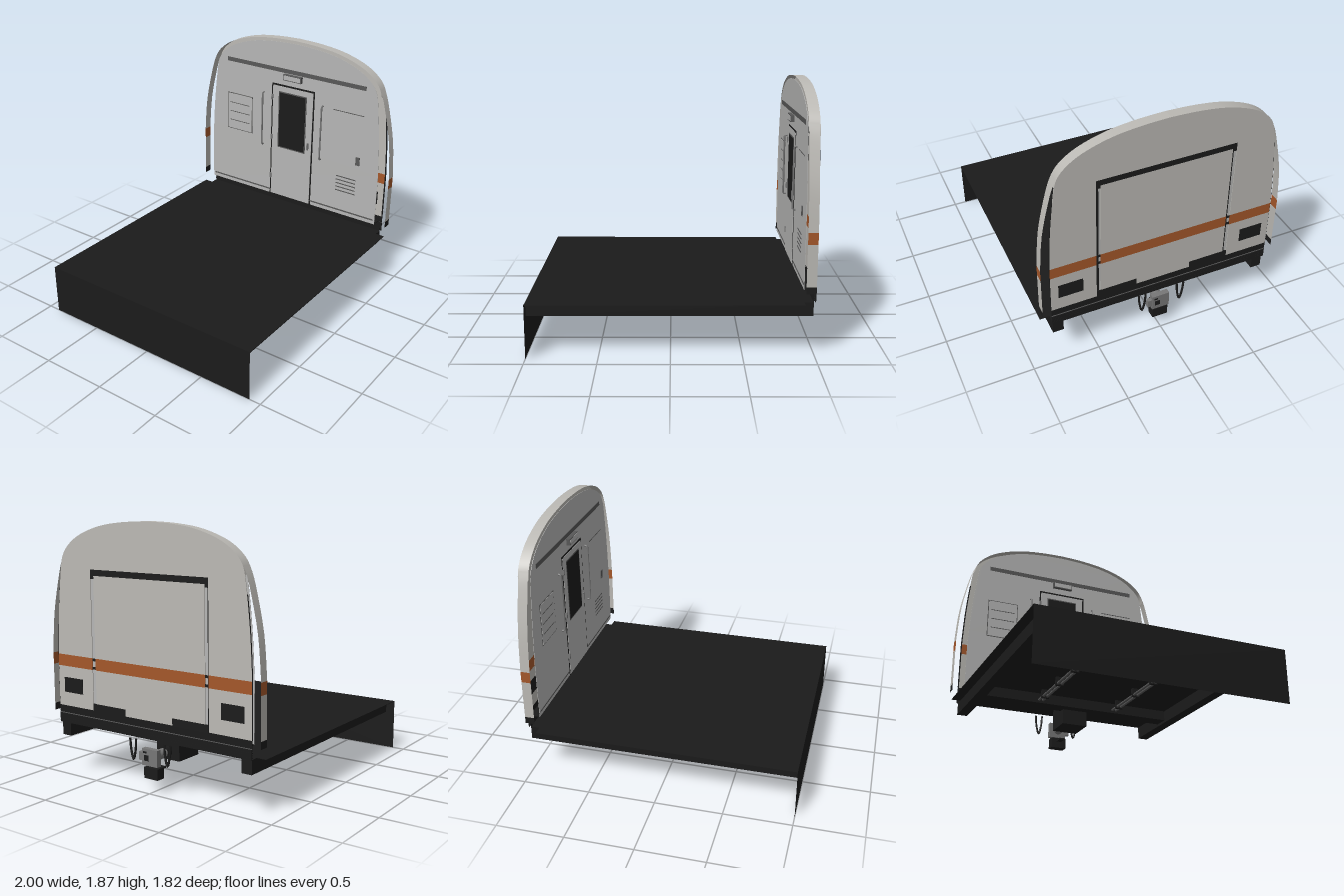
import * as THREE from 'three';
import { toCreasedNormals } from 'three/addons/utils/BufferGeometryUtils.js';

const flat = (name, color) => Object.assign(new THREE.MeshStandardMaterial({ color, side: THREE.DoubleSide }), { name });

export function createModel() {
  const root = new THREE.Group();
  const shell = flat('shellGrey', 0xbbb9b4);
  const lining = flat('interiorGrey', 0xb6b6b5);
  const orange = flat('stripeOrange', 0xa4572a);
  const black = flat('underframeBlack', 0x1b1b1b);
  const steel = flat('couplerSteel', 0x777777);
  const trim = flat('trimGrey', 0x585858);

  const add = (name, geo, mat) => {
    const m = new THREE.Mesh(geo, mat);
    m.name = name;
    root.add(m);
    return m;
  };
  // box given by its limits on each axis
  const box = (name, mat, x0, x1, y0, y1, z0, z1) => {
    const m = add(name, new THREE.BoxGeometry(x1 - x0, y1 - y0, z1 - z0), mat);
    m.position.set((x0 + x1) / 2, (y0 + y1) / 2, (z0 + z1) / 2);
  };
  const pair = (name, mat, x0, x1, y0, y1, z0, z1) => {
    box(name, mat, x0, x1, y0, y1, z0, z1);
    box(name, mat, x0, x1, y0, y1, -z1, -z0);
  };
  // outline in (z, y) extruded from x0 to x1
  const slab = (name, mat, pts, x0, x1) => {
    const shape = new THREE.Shape(pts.map(([z, y]) => new THREE.Vector2(-z, y)));
    const g = new THREE.ExtrudeGeometry(shape, { depth: x1 - x0, bevelEnabled: false });
    g.rotateY(Math.PI / 2).translate(x0, 0, 0);
    return add(name, toCreasedNormals(g, 0.6), mat);
  };
  // open sheet following a (z, y) path between x0 and x1, on both sides
  const skin = (name, mat, path, x0, x1) => {
    for (const s of [1, -1]) {
      const g = new THREE.PlaneGeometry(1, 1, path.length - 1, 1);
      for (let row = 0; row < 2; row++) {
        path.forEach(([z, y], i) => {
          g.attributes.position.setXYZ(row * path.length + i, row ? x1 : x0, y, s * z);
        });
      }
      // outward faces on the mirrored side too
      if (s > 0) g.index.array.reverse();
      g.computeVertexNormals();
      add(name, g, mat);
    }
  };
  const spline = (pts, n) => new THREE.SplineCurve(pts.map(p => new THREE.Vector2(...p))).getPoints(n).map(p => [p.x, p.y]);
  const mirrored = pts => [...pts, ...pts.slice(0, -1).reverse().map(([z, y]) => [-z, y])];

  // body cross-section above the stripe: right half, then mirrored
  const half = spline([
    [0.848, 0.9], [0.832, 1.2], [0.803, 1.48], [0.775, 1.62], [0.7, 1.71],
    [0.58, 1.78], [0.4, 1.836], [0.2, 1.863], [0, 1.872],
  ], 48);
  const arch = mirrored(half);

  // roof skin and flared side skins joining the outer face and the lining
  const W = 0.848, B = 0.92, P = 0.992, F = 0.997;
  const S = 0.91, skinEnd = 0.99;
  skin('roofSkin', shell, half.filter(p => p[1] > 1.54), B, F);
  skin('sideSkinUpper', shell, spline([[S, 0.9], [0.885, 1.2], [0.82, 1.5], [0.777, 1.62]], 12), B, skinEnd);
  skin('sideSkinStripe', orange, [[S, 0.815], [S, 0.9]], B, skinEnd);
  skin('sideSkinLower', shell, [[S, 0.52], [S, 0.815]], B, skinEnd);
  skin('sideSkinSkirt', black, [[S, 0.468], [S, 0.52]], B, skinEnd);

  // outer face sheets, leaving slots around the gangway opening
  const gi = 0.482, go = 0.512;
  slab('outerFaceUpper', shell, [...arch, [-go, 0.9], [-go, 1.53], [go, 1.53], [go, 0.9]], P, F);
  box('gangwayPanelUpper', shell, P, F, 0.9, 1.487, -gi, gi);
  for (const [name, mat, y0, y1] of [['Lower', shell, 0.52, 0.815], ['Stripe', orange, 0.815, 0.9]]) {
    pair('outerFace' + name, mat, P, F, y0, y1, go, W);
    box('gangwayPanel' + name, mat, P, F, y0, y1, -gi, gi);
  }
  pair('recessedSeal', black, 0.962, 0.964, 0.52, 1.49, gi, go);
  box('gangwayTopSeal', black, P, F, 1.487, 1.53, -go, go);
  pair('gangwayTopCorner', black, P, F, 1.465, 1.487, gi, go);
  pair('sealClip', black, P, F, 0.82, 0.838, gi, go);
  pair('sealClip', black, P, F, 0.88, 0.898, gi, go);

  // skirt, its steps, lamps and dark side seams
  box('skirt', black, P, F, 0.468, 0.52, -W, W);
  box('skirtFloor', black, B, P, 0.468, 0.474, -0.815, 0.815);
  pair('skirtStep', black, F - 0.004, F + 0.003, 0.515, 0.57, 0.21, go);
  pair('headlamp', black, P - 0.002, F + 0.003, 0.622, 0.732, 0.612, 0.792);
  const seam = [[W, 0.52], ...half.filter(p => p[1] < 1.47)];
  const seamOutline = [...seam.map(([z, y]) => [z + 0.002, y]), ...seam.map(([z, y]) => [z - 0.006, y]).reverse()];
  for (const s of [1, -1]) slab('sideSeam', black, seamOutline.map(([z, y]) => [s * z, y]), 0.988, 0.996);

  // ribbed buffer beam under the skirt
  box('bufferBack', black, 0.983, 0.986, 0.39, 0.47, -0.84, 0.84);
  box('bufferPlate', black, 0.995, 0.999, 0.39, 0.462, -W, W);
  for (let i = 0; i < 4; i++) box('bufferRib', black, 0.985, 1, 0.402 + i * 0.016, 0.408 + i * 0.016, -W, W);
  box('bufferLip', trim, 0.994, 1, 0.462, 0.466, -W, W);

  // interior lining with ceiling slot and trim lines
  const liningPts = mirrored([[0.815, 0.47], ...half.map(([z, y]) => [z * 0.962, y - 0.025])]);
  slab('interiorLining', lining, liningPts, 0.918, B + 0.001);
  box('ceilingSlot', trim, 0.916, 0.919, 1.59, 1.625, -0.66, 0.66);
  box('kickStrip', trim, 0.916, 0.919, 0.5, 0.512, -0.8, 0.8);
  box('upperSeam', trim, 0.916, 0.919, 1.375, 1.381, 0.38, 0.66);

  // interior door with window, handle and hinges
  box('doorSurround', black, 0.916, 0.919, 0.47, 1.485, -0.205, 0.205);
  box('door', lining, 0.913, 0.918, 0.475, 1.47, -0.193, 0.193);
  box('doorWindowFrame', trim, 0.911, 0.914, 0.925, 1.425, -0.135, 0.135);
  box('doorWindow', black, 0.909, 0.912, 0.935, 1.415, -0.125, 0.125);
  box('doorHandle', steel, 0.9, 0.914, 0.97, 1.03, 0.155, 0.168);
  for (const y of [0.62, 0.98, 1.34]) box('doorHinge', steel, 0.905, 0.918, y, y + 0.045, -0.205, -0.19);
  box('signBox', trim, 0.89, 0.919, 1.535, 1.585, -0.085, 0.085);
  box('signFace', lining, 0.887, 0.89, 1.542, 1.578, -0.078, 0.078);

  // grab rails either side of the door
  for (const s of [-1, 1]) {
    const rail = new THREE.CatmullRomCurve3([
      [0.918, 0.915], [0.897, 0.918], [0.895, 0.94], [0.895, 1.36], [0.897, 1.382], [0.918, 1.385],
    ].map(([x, y]) => new THREE.Vector3(x, y, s * 0.285)), false, 'catmullrom', 0.1);
    add('grabRail', new THREE.TubeGeometry(rail, 40, 0.007, 8), steel);
  }

  // wall cabinet, vents and switches
  box('cabinetOutline', trim, 0.916, 0.919, 0.98, 1.31, -0.66, -0.4);
  box('cabinetDoor', lining, 0.914, 0.918, 0.986, 1.304, -0.654, -0.406);
  for (let i = 0; i < 3; i++) box('cabinetSlot', trim, 0.913, 0.915, 1.06 + i * 0.08, 1.066 + i * 0.08, -0.63, -0.43);
  for (let i = 0; i < 5; i++) box('ventSlot', trim, 0.915, 0.919, 0.68 + i * 0.032, 0.688 + i * 0.032, 0.44, 0.62);
  box('switchPlate', trim, 0.912, 0.919, 0.95, 1.02, 0.61, 0.645);

  // thin floor sheet on sills and a cross beam, with a sheet bulkhead at the rear
  box('deck', black, -1, 0.92, 0.386, 0.39, -0.91, 0.91);
  box('deckFront', black, 0.92, 0.985, 0.386, 0.39, -0.84, 0.84);
  pair('sideSill', black, -0.999, 0.985, 0.29, 0.386, 0.76, 0.84);
  box('crossBeam', black, 0.5, 0.62, 0.31, 0.386, -0.76, 0.76);
  const bulkhead = add('rearBulkhead', new THREE.PlaneGeometry(1.82, 0.39), black);
  bulkhead.rotation.y = -Math.PI / 2;
  bulkhead.position.set(-1, 0.195, 0);
  pair('rearBracket', black, -0.999, -0.93, 0.23, 0.386, 0.17, 0.42);

  // pipes with clamps under the deck
  for (const z of [-0.31, 0.31]) {
    for (const dz of [-0.015, 0.015]) {
      const pipe = add('underfloorPipe', new THREE.CylinderGeometry(0.01, 0.01, 1.5, 8), trim);
      pipe.rotation.z = Math.PI / 2;
      pipe.position.set(-0.2, 0.335, z + dz);
    }
    for (let i = 0; i < 5; i++) box('pipeClamp', black, -0.8 + i * 0.3, -0.78 + i * 0.3, 0.32, 0.386, z - 0.03, z + 0.03);
  }

  // coupler: draft box, ribbed shaft and head
  box('draftBox', black, 0.57, 0.79, 0.195, 0.386, -0.1, 0.1);
  const tube = (name, mat, r, len, x) => {
    const m = add(name, new THREE.CylinderGeometry(r, r, len, 16), mat);
    m.rotation.z = Math.PI / 2;
    m.position.set(x, 0.255, 0);
  };
  tube('couplerShaft', steel, 0.03, 0.17, 0.87);
  tube('shaftCollar', black, 0.037, 0.016, 0.8);
  tube('shaftCollar', black, 0.037, 0.016, 0.822);
  tube('shaftCollar', steel, 0.036, 0.1, 0.89);
  box('couplerHead', steel, 0.95, 0.99, 0.195, 0.315, -0.065, 0.07);
  box('couplerLug', steel, 0.955, 0.985, 0.225, 0.285, 0.07, 0.103);
  box('couplerSocket', black, 0.988, 0.994, 0.23, 0.27, 0.01, 0.05);
  box('couplerSlot', black, 0.988, 0.994, 0.284, 0.296, 0.028, 0.056);
  box('electricBox', black, 0.912, 0.982, 0.1, 0.18, -0.06, 0.06);
  box('electricBoxArm', black, 0.84, 0.915, 0.15, 0.162, -0.02, 0.02);

  // hanging hoses either side of the coupler
  for (const s of [-1, 1]) {
    const hose = new THREE.CatmullRomCurve3([
      [0.37, 0.18], [0.29, 0.172], [0.22, 0.152], [0.29, 0.132], [0.37, 0.126],
    ].map(([y, z]) => new THREE.Vector3(0.985, y, s * z)));
    add('airHose', new THREE.TubeGeometry(hose, 28, 0.008, 8), black);
  }
  return root;
}
